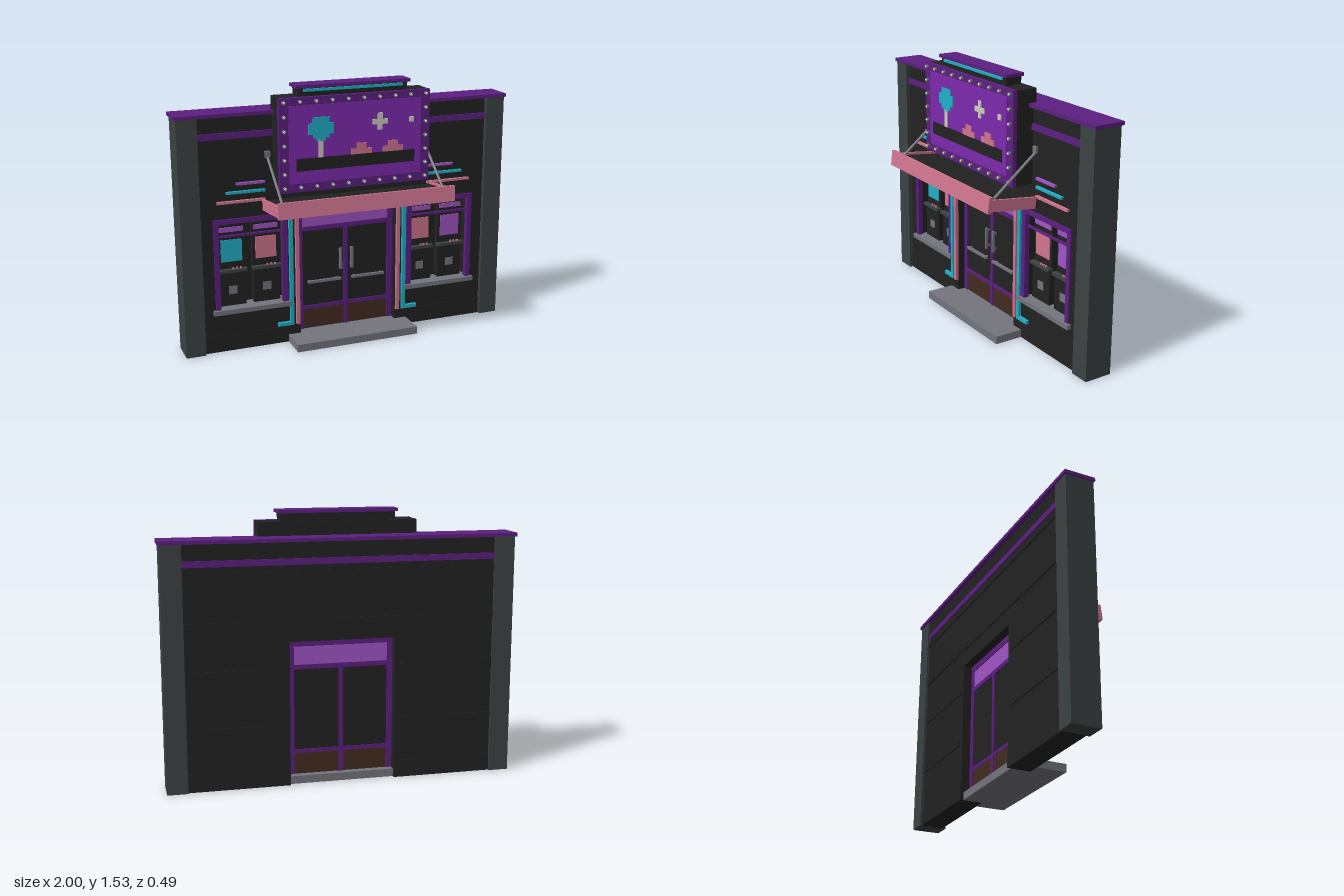
import * as THREE from 'three';

const mat = (name, color) => {
  const m = new THREE.MeshStandardMaterial({ color });
  m.name = name;
  return m;
};

export function createModel() {
  const black = mat('wall black', 0x222222), slate = mat('pillar slate', 0x3c4242);
  const purple = mat('trim purple', 0x5c1f80), violet = mat('sign violet', 0x7e2aae);
  const lilac = mat('lilac', 0x9f55c4), pink = mat('pink', 0xd0758f);
  const cyan = mat('cyan', 0x20b0c8), grey = mat('metal grey', 0x74747e);
  const brown = mat('kick plate brown', 0x422b20), cream = mat('cream', 0xd0cec0);

  const model = new THREE.Group();
  model.name = 'arcadeFront';
  const group = (name, parent = model) => {
    const g = new THREE.Group();
    g.name = name;
    parent.add(g);
    return g;
  };
  const add = (parent, name, geo, m) => {
    const mesh = new THREE.Mesh(geo, m);
    mesh.name = name;
    parent.add(mesh);
    return mesh;
  };
  // Box given by its limits on each axis
  const box = (parent, name, m, x0, x1, y0, y1, z0, z1) => {
    const mesh = add(parent, name, new THREE.BoxGeometry(Math.abs(x1 - x0), y1 - y0, z1 - z0), m);
    mesh.position.set((x0 + x1) / 2, (y0 + y1) / 2, (z0 + z1) / 2);
    return mesh;
  };
  const mirrored = (...a) => {
    const [parent, name, m, x0, x1, ...rest] = a;
    box(parent, name, m, x0, x1, ...rest);
    box(parent, name, m, -x1, -x0, ...rest);
  };

  // Wall: front layer with window niches, closed back layer, door opening in both
  const building = group('building');
  const wallLayer = (name, z0, z1, windows) => {
    const s = new THREE.Shape();
    [[-0.88, 0], [-0.3, 0], [-0.3, 0.82], [0.3, 0.82], [0.3, 0], [0.88, 0], [0.88, 1.37], [-0.88, 1.37]]
      .forEach(([x, y], i) => (i ? s.lineTo(x, y) : s.moveTo(x, y)));
    if (windows) for (const [a, b] of [[-0.79, -0.385], [0.385, 0.79]]) {
      const h = new THREE.Path();
      h.moveTo(a, 0.25).lineTo(a, 0.78).lineTo(b, 0.78).lineTo(b, 0.25).closePath();
      s.holes.push(h);
    }
    const geo = new THREE.ExtrudeGeometry(s, { depth: z1 - z0, bevelEnabled: false });
    geo.translate(0, 0, z0);
    add(building, name, geo, black);
  };
  wallLayer('wallFront', -0.19, -0.095, true);
  wallLayer('wallBack', -0.22, -0.19, false);
  mirrored(building, 'pillar', slate, 0.875, 0.99, 0, 1.375, -0.235, -0.07);
  box(building, 'roofCap', purple, -1, 1, 1.37, 1.39, -0.245, -0.065);
  box(building, 'upperBand', purple, -0.876, 0.876, 1.245, 1.28, -0.227, -0.085);
  mirrored(building, 'plinth', black, 0.3, 0.876, 0, 0.1, -0.224, -0.09);

  // Raised strips across the back
  for (const y of [0.33, 0.65]) mirrored(building, 'backStrip', black, 0.33, 0.876, y, y + 0.025, -0.226, -0.21);
  for (const y of [0.92, 1.19]) box(building, 'backStrip', black, -0.876, 0.876, y, y + 0.025, -0.226, -0.21);

  // Step and threshold
  box(building, 'step', grey, -0.375, 0.375, 0, 0.045, -0.09, 0.08);
  box(building, 'threshold', grey, -0.3, 0.3, 0, 0.045, -0.205, -0.088);

  // Double door
  const door = group('door');
  mirrored(door, 'doorJamb', purple, 0.268, 0.3, 0.045, 0.82, -0.17, -0.135);
  box(door, 'doorHead', purple, -0.268, 0.268, 0.783, 0.82, -0.17, -0.135);
  box(door, 'transomBar', purple, -0.268, 0.268, 0.652, 0.678, -0.17, -0.135);
  box(door, 'mullion', purple, -0.012, 0.012, 0.045, 0.652, -0.17, -0.135);
  box(door, 'transomPanel', lilac, -0.268, 0.268, 0.678, 0.783, -0.165, -0.142);
  mirrored(door, 'doorGlass', black, 0.012, 0.268, 0.188, 0.652, -0.162, -0.145);
  mirrored(door, 'kickRail', purple, 0.012, 0.268, 0.166, 0.188, -0.167, -0.138);
  mirrored(door, 'kickPlate', brown, 0.012, 0.268, 0.045, 0.166, -0.164, -0.142);
  mirrored(door, 'pullHandle', grey, 0.028, 0.042, 0.4, 0.53, -0.13, -0.115);
  for (const y of [0.415, 0.51]) mirrored(door, 'handleMount', grey, 0.031, 0.039, y, y + 0.01, -0.147, -0.125);
  mirrored(door, 'pushBar', grey, 0.032, 0.24, 0.333, 0.348, -0.13, -0.115);
  for (const x of [0.05, 0.22]) mirrored(door, 'barMount', grey, x, x + 0.01, 0.336, 0.345, -0.147, -0.125);

  // Window frames
  const windows = group('windows');
  mirrored(windows, 'frameInner', purple, 0.372, 0.405, 0.25, 0.79, -0.115, -0.085);
  mirrored(windows, 'frameOuter', purple, 0.775, 0.804, 0.25, 0.79, -0.115, -0.085);
  mirrored(windows, 'frameTop', purple, 0.372, 0.804, 0.762, 0.79, -0.115, -0.085);
  mirrored(windows, 'frameRail', purple, 0.4, 0.78, 0.68, 0.692, -0.113, -0.1);
  mirrored(windows, 'sill', grey, 0.36, 0.82, 0.23, 0.257, -0.19, -0.07);

  // Game cabinets in the niches
  [[-0.6885, cyan], [-0.4855, pink], [0.4855, pink], [0.6885, lilac]].forEach(([x, screen]) => {
    const c = group('gameCabinet');
    c.position.x = x;
    box(c, 'cabinetBase', black, -0.078, 0.078, 0.257, 0.46, -0.19, -0.14);
    box(c, 'cabinetTop', black, -0.078, 0.078, 0.46, 0.74, -0.19, -0.152);
    box(c, 'topPanel', lilac, -0.072, 0.072, 0.697, 0.724, -0.153, -0.145);
    box(c, 'screen', screen, -0.062, 0.062, 0.52, 0.65, -0.153, -0.147);
    box(c, 'controlPanel', slate, -0.084, 0.084, 0.46, 0.477, -0.16, -0.122);
    box(c, 'coinDoor', grey, -0.025, 0.025, 0.327, 0.375, -0.141, -0.136);
    for (const bx of [0.005, 0.027, 0.049])
      box(c, 'button', pink, bx - 0.005, bx + 0.005, 0.477, 0.487, -0.142, -0.132);
  });

  // Neon tubes beside the door and on the wall
  const neon = group('neon');
  mirrored(neon, 'cyanTube', cyan, 0.343, 0.365, 0.107, 0.84, -0.096, -0.076);
  mirrored(neon, 'cyanFoot', cyan, 0.365, 0.44, 0.107, 0.128, -0.096, -0.076);
  mirrored(neon, 'pinkTube', pink, 0.306, 0.327, 0.107, 0.84, -0.096, -0.076);
  [[0.665, 0.981, lilac], [0.724, 0.933, cyan], [0.777, 0.88, pink]].forEach(([x, y, m]) =>
    mirrored(neon, 'wallTube', m, 0.5, x, y, y + 0.014, -0.096, -0.078));

  // Tilted canopy
  const canopy = group('canopy');
  canopy.position.set(0, 0.86, -0.07);
  canopy.rotation.x = -0.117;
  box(canopy, 'canopySlab', black, -0.512, 0.512, -0.03, 0.018, -0.02, 0.29);
  mirrored(canopy, 'sideTrim', pink, 0.51, 0.522, -0.033, 0.032, 0, 0.29);
  box(canopy, 'fascia', pink, -0.524, 0.524, -0.042, 0.048, 0.288, 0.309);

  // Canopy struts and wall brackets
  for (const x of [-0.48, 0.48]) {
    const a = new THREE.Vector3(x, 0.915, 0.175), b = new THREE.Vector3(x, 1.135, -0.1);
    const strut = add(canopy.parent, 'strut', new THREE.CylinderGeometry(0.008, 0.008, a.distanceTo(b), 8), grey);
    strut.position.copy(a).lerp(b, 0.5);
    strut.quaternion.setFromUnitVectors(new THREE.Vector3(0, 1, 0), b.clone().sub(a).normalize());
    box(model, 'strutBracket', grey, x - 0.016, x + 0.016, 1.124, 1.16, -0.1, -0.08);
  }

  // Sign box with crown
  const sign = group('sign');
  box(sign, 'signBody', black, -0.448, 0.448, 0.942, 1.467, -0.112, 0.012);
  box(sign, 'signBorder', purple, -0.45, 0.45, 0.94, 1.469, 0.012, 0.036);
  box(sign, 'signPanel', violet, -0.394, 0.394, 0.99, 1.426, 0.034, 0.04);
  box(sign, 'crown', black, -0.325, 0.325, 1.467, 1.515, -0.1, -0.002);
  box(sign, 'crownCap', purple, -0.34, 0.34, 1.512, 1.53, -0.108, 0.008);
  box(sign, 'crownTube', cyan, -0.295, 0.295, 1.493, 1.508, -0.004, 0.008);

  // Pixel picture, as thin plates
  const art = (name, m, x0, x1, y0, y1) => box(sign, name, m, x0, x1, y0, y1, 0.038, 0.046);
  art('pictureGround', black, -0.354, 0.354, 1.06, 1.13);
  art('treeTrunk', cream, -0.225, -0.198, 1.13, 1.23);
  art('treeCrown', cyan, -0.284, -0.134, 1.26, 1.322);
  art('treeCrownTop', cyan, -0.257, -0.161, 1.322, 1.356);
  art('treeCrownLow', cyan, -0.257, -0.161, 1.238, 1.26);
  art('treeCrownTip', cyan, -0.236, -0.182, 1.222, 1.238);
  art('crossBar', cream, 0.096, 0.188, 1.29, 1.32);
  art('crossTop', cream, 0.128, 0.156, 1.32, 1.356);
  art('crossBottom', cream, 0.128, 0.156, 1.258, 1.29);
  art('dot', cream, 0.32, 0.349, 1.29, 1.32);
  for (const x of [0.029, 0.222]) {
    art('blockBase', pink, x - 0.062, x + 0.062, 1.13, 1.162);
    art('blockTop', pink, x - 0.03, x + 0.03, 1.162, 1.193);
  }

  // Bulbs around the border
  const spots = [];
  for (let i = 0; i < 10; i++) for (const y of [0.968, 1.446]) spots.push([-0.423 + i * 0.094, y]);
  for (let i = 1; i < 6; i++) for (const x of [-0.423, 0.423]) spots.push([x, 0.968 + i * 0.0797]);
  const socket = new THREE.CylinderGeometry(0.011, 0.011, 0.014, 8).rotateX(Math.PI / 2);
  const bulb = new THREE.SphereGeometry(0.008, 8, 6);
  for (const [x, y] of spots) {
    add(sign, 'bulbSocket', socket, grey).position.set(x, y, 0.042);
    add(sign, 'bulb', bulb, cream).position.set(x, y, 0.048);
  }
  return model;
}
